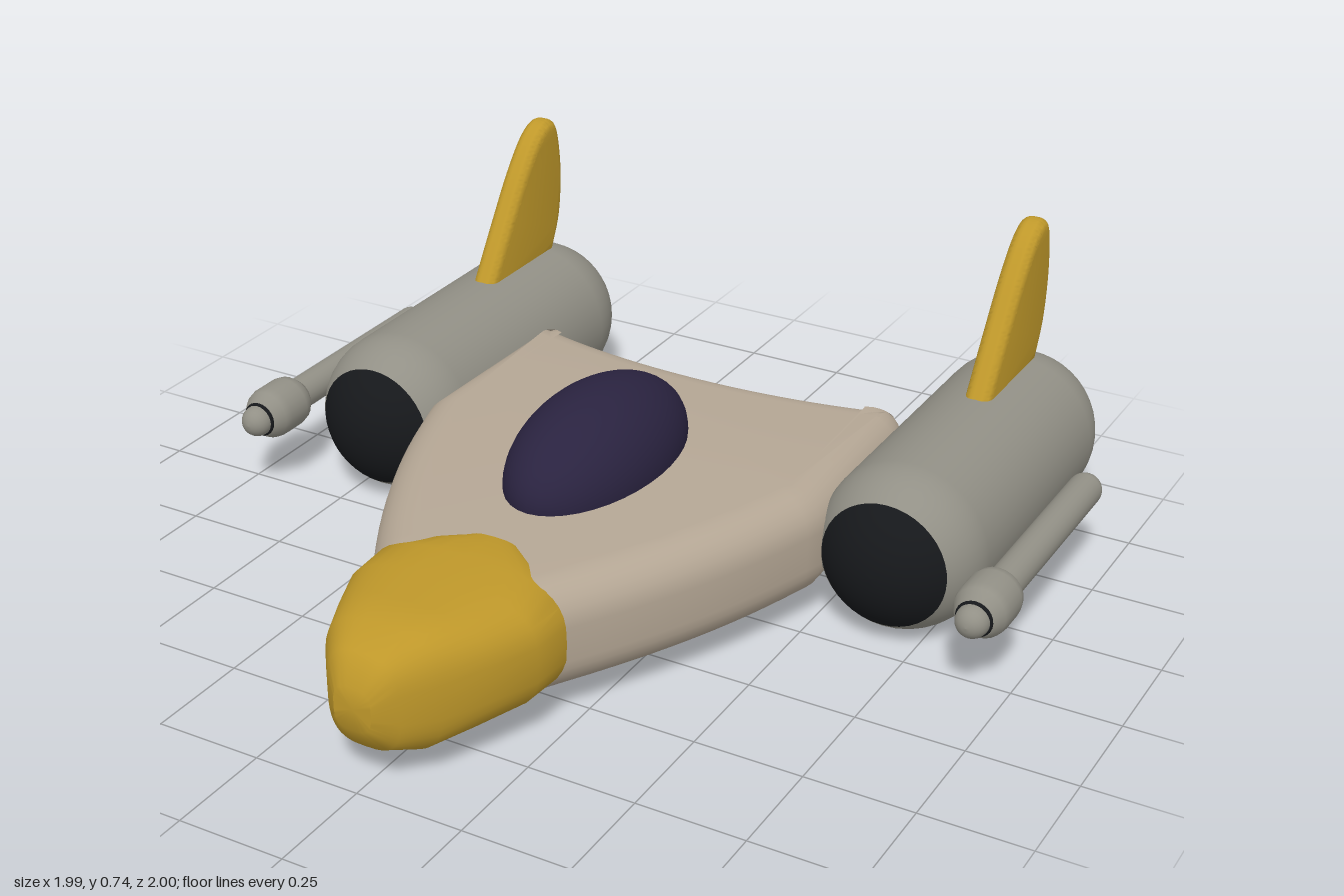
import * as THREE from 'three';
import { toCreasedNormals } from 'three/addons/utils/BufferGeometryUtils.js';

const mat = (color) => new THREE.MeshStandardMaterial({ color });
const hullMat = mat(0xb5a795), metalMat = mat(0x929086), goldMat = mat(0xbf982a);
const glassMat = mat(0x2a2340), darkMat = mat(0x16181b);
const V = (x, y) => new THREE.Vector2(x, y);

function part(name, geometry, material, x = 0, y = 0, z = 0) {
  const mesh = new THREE.Mesh(geometry, material);
  mesh.name = name;
  mesh.position.set(x, y, z);
  return mesh;
}

// Lathe around the z axis; points are (radius, z) from back to front
const latheZ = (points, sides = 40) => new THREE.LatheGeometry(points, sides).rotateX(Math.PI / 2);

// Arc of (radius, z) points on a sphere, angles measured from the equator
function arc(radius, zc, from, to, steps = 8) {
  return Array.from({ length: steps + 1 }, (_, i) => {
    const a = from + (to - from) * i / steps;
    return V(Math.max(0, radius * Math.cos(a)), zc + radius * Math.sin(a));
  });
}

// Flat wedge hull with rounded rim and a hollowed rear edge
function hullGeometry() {
  const s = new THREE.Shape();
  s.moveTo(0, -0.5);
  s.quadraticCurveTo(0.25, -0.5, 0.47, -0.565);
  s.quadraticCurveTo(0.5, -0.55, 0.51, -0.48);
  s.lineTo(0.52, -0.05);
  s.bezierCurveTo(0.47, 0.12, 0.41, 0.3, 0.24, 0.58);
  s.lineTo(0.15, 0.74);
  s.lineTo(-0.15, 0.74);
  s.lineTo(-0.24, 0.58);
  s.bezierCurveTo(-0.41, 0.3, -0.47, 0.12, -0.52, -0.05);
  s.lineTo(-0.51, -0.48);
  s.quadraticCurveTo(-0.5, -0.55, -0.47, -0.565);
  s.quadraticCurveTo(-0.25, -0.5, 0, -0.5);
  const b = 0.09;
  const g = new THREE.ExtrudeGeometry(s, {
    depth: 0.26 - 2 * b, bevelThickness: b, bevelSize: b, bevelOffset: -b, bevelSegments: 7, curveSegments: 12,
  });
  g.rotateX(Math.PI / 2);
  return toCreasedNormals(g, 0.6);
}

// Nose cone lofted through superellipse sections [z, half width, half height]
function noseGeometry() {
  const sections = [
    [0.47, 0, 0], [0.47, 0.1, 0.132], [0.52, 0.18, 0.139], [0.58, 0.243, 0.14], [0.68, 0.236, 0.14],
    [0.79, 0.19, 0.14], [0.89, 0.142, 0.14], [0.96, 0.088, 0.11], [1, 0.045, 0.05], [1, 0, 0],
  ];
  const n = 40, pos = [], idx = [];
  const bend = (c) => Math.sign(c) * Math.pow(Math.abs(c), 2 / 3);
  sections.forEach(([z, w, h], i) => {
    for (let j = 0; j < n; j++) {
      const a = 2 * Math.PI * j / n;
      pos.push(w * bend(Math.cos(a)), h * bend(Math.sin(a)), z);
      if (i === sections.length - 1) continue;
      const p = i * n + j, q = i * n + (j + 1) % n;
      idx.push(p, q, p + n, q, q + n, p + n);
    }
  });
  const g = new THREE.BufferGeometry();
  g.setAttribute('position', new THREE.Float32BufferAttribute(pos, 3));
  g.setIndex(idx);
  return toCreasedNormals(g, 0.7);
}

// Swept fin outline in (z, y) with rounded edges
function finGeometry() {
  const s = new THREE.Shape();
  s.moveTo(-0.47, 0.3);
  s.lineTo(-0.535, 0.39);
  s.splineThru([V(-0.62, 0.52), V(-0.7, 0.635), V(-0.77, 0.71), V(-0.83, 0.735),
    V(-0.87, 0.705), V(-0.89, 0.59), V(-0.88, 0.47), V(-0.845, 0.385)]);
  s.lineTo(-0.8, 0.3);
  const b = 0.025;
  const g = new THREE.ExtrudeGeometry(s, {
    depth: 0.014, bevelThickness: b, bevelSize: b, bevelOffset: -b, bevelSegments: 5, curveSegments: 24,
  });
  g.translate(0, 0, -0.007).rotateY(-Math.PI / 2);
  return toCreasedNormals(g, 0.7);
}

// Capsule engine with dark intake and exhaust caps, its fin and its cannon
function sidePod(side, label) {
  const pod = new THREE.Group();
  pod.name = label + 'Pod';
  const r = 0.195, y = 0.195, x = side * 0.67, cap = 0.7, back = -0.805, front = -0.175;
  const H = Math.PI / 2;
  pod.add(part(label + 'Engine', latheZ([...arc(r, back, -cap, 0), ...arc(r, front, 0, cap)]), metalMat, x, y));
  pod.add(part(label + 'Exhaust', latheZ(arc(r, back, -H, -cap)), darkMat, x, y));
  pod.add(part(label + 'Intake', latheZ(arc(r, front, cap, H)), darkMat, x, y));
  pod.add(part(label + 'Fin', finGeometry(), goldMat, x));

  const gun = new THREE.Group();
  gun.name = label + 'Cannon';
  gun.position.set(side * 0.93, 0.2, 0);
  gun.add(part('barrel', latheZ([...arc(0.04, -0.59, -H, 0, 6), V(0.04, 0)], 24), metalMat));
  gun.add(part('collar', latheZ([V(0.03, -0.085), V(0.045, -0.08), V(0.06, -0.06), V(0.064, -0.04), V(0.064, 0.02),
    V(0.06, 0.04), V(0.045, 0.065), V(0.03, 0.068)], 24), metalMat));
  gun.add(part('muzzleRing', new THREE.TorusGeometry(0.037, 0.006, 8, 24), darkMat, 0, 0, 0.068));
  gun.add(part('muzzle', latheZ([V(0.038, 0.05), ...arc(0.038, 0.076, 0, H, 6)], 24), metalMat));
  pod.add(gun);
  return pod;
}

export function createModel() {
  const model = new THREE.Group();
  model.name = 'starfighter';
  model.add(part('hull', hullGeometry(), hullMat, 0, 0.325 - 0.09, 0));
  model.add(part('nose', noseGeometry(), goldMat, 0, 0.2, 0));

  // Ellipsoid canopy
  const canopy = part('canopy', new THREE.SphereGeometry(1, 40, 28).scale(0.165, 0.165, 0.303), glassMat, 0, 0.333, 0.037);
  model.add(canopy);

  model.add(sidePod(1, 'left'), sidePod(-1, 'right'));
  return model;
}
